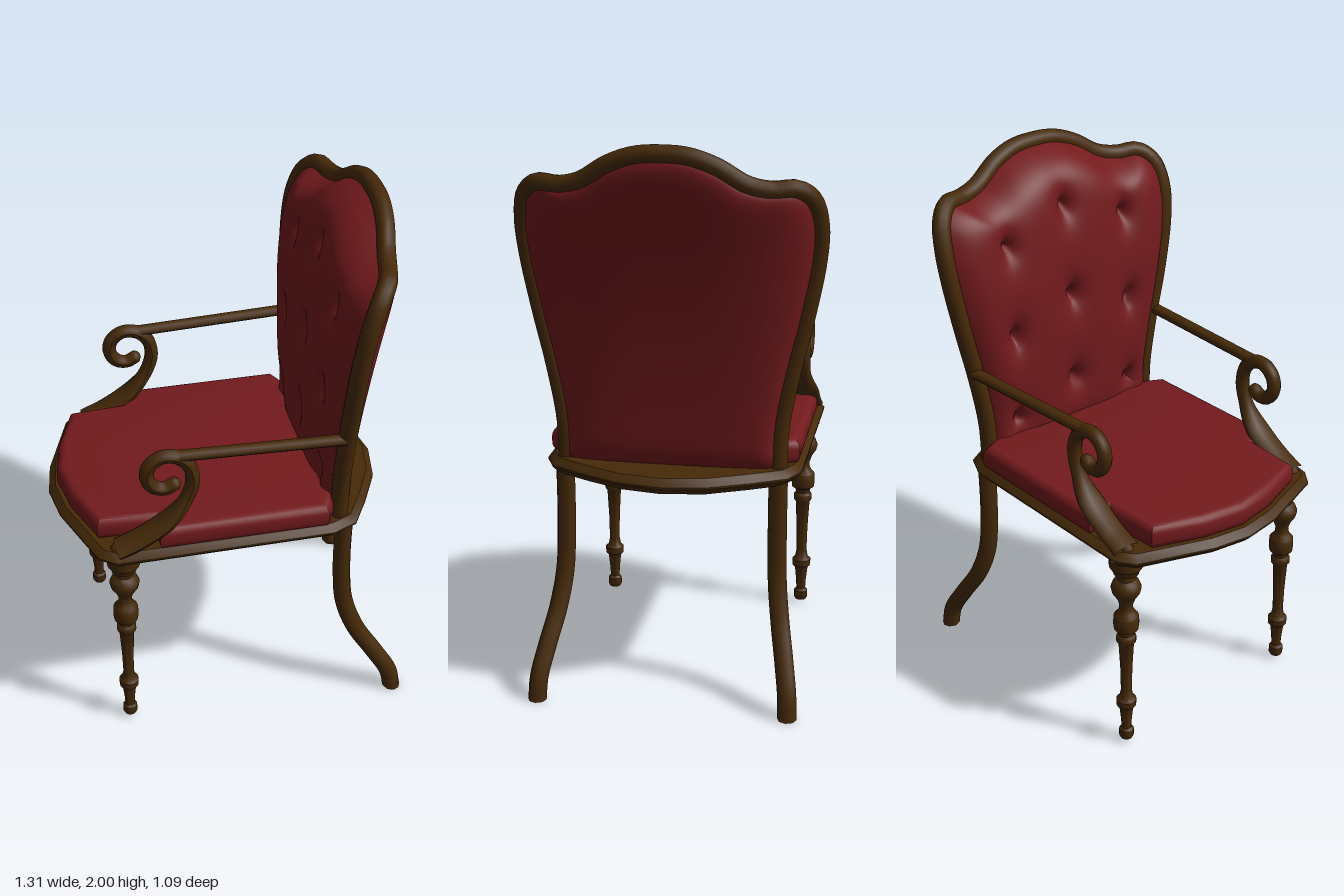
import * as THREE from 'three';
import { ParametricGeometry } from 'three/addons/geometries/ParametricGeometry.js';
import { toCreasedNormals } from 'three/addons/utils/BufferGeometryUtils.js';

const wood = new THREE.MeshStandardMaterial({ color: 0x462a08 });
wood.name = 'darkWood';
const fabric = new THREE.MeshStandardMaterial({ color: 0x731a1d });
fabric.name = 'redFabric';

const V = (x, y, z) => new THREE.Vector3(x, y, z);
const curveOf = (pts) => new THREE.CatmullRomCurve3(pts.map((p) => V(...p)));

// The chair is built facing -x, then turned slightly.
export function createModel() {
  const chair = new THREE.Group();
  chair.name = 'armchair';
  const add = (name, geometry, material) => {
    const mesh = new THREE.Mesh(geometry, material);
    mesh.name = name;
    chair.add(mesh);
    return mesh;
  };

  // Closed plan outline from one half, mirrored across z
  const outline = (half) => {
    const other = half.filter((p) => p[1] !== 0).map(([x, z]) => [x, -z]).reverse();
    return [...half, ...other].map(([x, z]) => new THREE.Vector2(x, z));
  };

  // Horizontal slab with bevelled rim
  const slab = (half, y0, y1, bevel, segments, holeHalf) => {
    const shape = new THREE.Shape(outline(half));
    if (holeHalf) shape.holes.push(new THREE.Path(outline(holeHalf)));
    const g = new THREE.ExtrudeGeometry(shape, {
      depth: y1 - y0 - 2 * bevel, bevelThickness: bevel, bevelSize: bevel,
      bevelOffset: -bevel, bevelSegments: segments,
    });
    g.rotateX(-Math.PI / 2);
    g.translate(0, y0 + bevel, 0);
    return toCreasedNormals(g, 0.6);
  };

  // Tube with closed ends
  const tube = (name, curve, segments, radius, sides) => {
    const g = new THREE.TubeGeometry(curve, segments, radius, sides);
    const mesh = add(name, g, wood);
    for (const t of [0, 1]) {
      const cap = new THREE.Mesh(new THREE.SphereGeometry(radius, sides, 6), wood);
      cap.name = name + 'End';
      cap.position.copy(curve.getPoint(t));
      if (cap.position.y > 0.1) mesh.add(cap);
    }
    return mesh;
  };

  // Seat rail with an open middle, and the cushion notched around the arm feet
  add('seatFrame', slab(
    [[-0.652, 0], [-0.63, 0.145], [-0.53, 0.42], [-0.47, 0.465], [0.33, 0.46],
      [0.42, 0.42], [0.49, 0.3], [0.56, 0.16], [0.588, 0]],
    0.8, 0.857, 0.025, 1,
    [[-0.25, 0], [-0.25, 0.38], [0.32, 0.38], [0.35, 0.25], [0.37, 0]]), wood);
  add('seatCushion', slab(
    [[-0.618, 0], [-0.59, 0.16], [-0.52, 0.345], [-0.315, 0.358], [-0.31, 0.45], [0.31, 0.45],
      [0.345, 0.38], [0.39, 0.25], [0.42, 0]],
    0.845, 0.942, 0.036, 5), fabric);

  // Backrest: leans back with height and wraps forward at the sides
  const backX = (y, z) => 0.39 + 0.165 * ((y - 0.82) / 1.18) ** 2 - 0.08 * (z / 0.5) ** 4;
  const halfBack = [[0.38, 0.84], [0.385, 1.0], [0.42, 1.2], [0.466, 1.4], [0.503, 1.6],
    [0.51, 1.72], [0.49, 1.81], [0.44, 1.852], [0.36, 1.85], [0.28, 1.868],
    [0.18, 1.928], [0.09, 1.96]];
  const backPts = [...halfBack, [0, 1.967], ...halfBack.map(([z, y]) => [-z, y]).reverse()];
  const backCurve = curveOf(backPts.map(([z, y]) => [backX(y, z), y, z]));
  tube('backFrame', backCurve, 120, 0.033, 12);

  // Outline point of the backrest, closed along the bottom
  const rim = (u) => (u < 0.86 ? backCurve.getPoint(u / 0.86)
    : V(0, 0.84, THREE.MathUtils.lerp(-0.38, 0.38, (u - 0.86) / 0.14)));
  const tufts = [1.72, 1.38, 1.04].flatMap((y) => [[y - 0.04, -0.27], [y + 0.05, 0], [y - 0.04, 0.27]]);
  const backSurface = (front) => {
    const g = new ParametricGeometry((u, v, target) => {
      const p = rim(front ? 1 - u : u);
      const s = Math.sin((v * Math.PI) / 2);
      const z = p.z * s, y = 1.4 + (p.y - 1.4) * s;
      let x = backX(y, z);
      if (front) {
        const dome = 1 - s ** 11;
        const face = 0.288 + 0.05 * (Math.max(0, y - 1.2) / 0.6) ** 2;
        x += (face - x) * dome;
        // buttoned dents, steep and drawn out vertically
        for (const [ty, tz] of tufts) {
          x += 0.075 * dome * Math.exp(-Math.hypot((z - tz) / 0.03, (y - ty) / 0.045));
        }
      } else x += 0.045 * (1 - s ** 20);
      target.set(x, y, z);
    }, 140, front ? 80 : 32);
    g.computeVertexNormals();
    return g;
  };
  add('backPadding', backSurface(true), fabric);
  add('backPanel', backSurface(false), fabric);

  // Turned front leg profile: radius, height
  const legProfile = [[0, 0.015], [0.022, 0.015], [0.027, 0.025], [0.027, 0.052], [0.018, 0.062],
    [0.02, 0.1], [0.026, 0.155], [0.036, 0.165], [0.037, 0.19], [0.026, 0.2], [0.02, 0.23],
    [0.022, 0.33], [0.028, 0.44], [0.036, 0.45], [0.036, 0.47], [0.028, 0.48], [0.03, 0.495],
    [0.044, 0.505], [0.047, 0.53], [0.045, 0.56], [0.032, 0.575], [0.025, 0.59], [0.025, 0.61],
    [0.034, 0.635], [0.05, 0.66], [0.055, 0.682], [0.046, 0.705], [0.032, 0.715], [0.032, 0.735],
    [0.046, 0.742], [0.05, 0.76], [0.06, 0.77], [0.062, 0.81]]
    .map(([r, y]) => new THREE.Vector2(r, y));
  const legGeometry = toCreasedNormals(new THREE.LatheGeometry(legProfile, 20), 0.7);

  for (const side of [1, -1]) {
    const tag = side > 0 ? 'Left' : 'Right';

    add('frontLeg' + tag, legGeometry, wood).position.set(-0.437, 0, side * 0.39);

    // Swept rear leg, cut flat at the floor
    const rear = tube('rearLeg' + tag, curveOf([[0.385, 0.82, 0.383], [0.385, 0.6, 0.383],
      [0.4, 0.43, 0.388], [0.445, 0.3, 0.405], [0.52, 0.18, 0.43], [0.578, 0.08, 0.448],
      [0.596, -0.01, 0.452]].map(([x, y, z]) => [x, y, z * side])), 40, 0.034, 8);
    const rp = rear.geometry.attributes.position;
    for (let i = 0; i < rp.count; i++) rp.setY(i, Math.max(0, rp.getY(i)));
    const sole = new THREE.Mesh(new THREE.CircleGeometry(0.034, 8), wood);
    sole.name = 'rearSole' + tag;
    sole.rotation.x = Math.PI / 2;
    sole.position.set(0.595, 0.001, side * 0.452);
    rear.add(sole);

    // Arm support: S-curve ending in an open scroll, widening toward its foot
    const scroll = tube('armScroll' + tag, curveOf([[-0.46, 0.85, 0], [-0.38, 0.885, 0],
      [-0.28, 0.95, 0], [-0.21, 1.035, 0], [-0.183, 1.12, 0], [-0.198, 1.19, 0],
      [-0.24, 1.228, 0], [-0.295, 1.233, 0], [-0.337, 1.2, 0], [-0.345, 1.15, 0],
      [-0.318, 1.108, 0], [-0.28, 1.098, 0], [-0.25, 1.112, 0]]), 90, 0.026, 10);
    const sp = scroll.geometry.attributes.position;
    for (let i = 0; i < sp.count; i++) {
      const k = THREE.MathUtils.smoothstep(1.06 - sp.getY(i), 0, 0.12);
      sp.setZ(i, sp.getZ(i) * (1 + 1.1 * k));
    }
    scroll.geometry.computeVertexNormals();
    scroll.position.z = side * 0.406;

    // Straight arm rail running to the back frame
    const rail = tube('armRail' + tag, new THREE.LineCurve3(
      V(-0.24, 0, side * 0.406), V(0.36, 0, side * 0.437)), 1, 0.025, 10);
    rail.scale.y = 0.75;
    rail.position.y = 1.231;
    rail.children.forEach((c) => c.position.setY(0));
  }

  chair.rotation.y = -0.058;
  chair.position.z = -0.02;
  const model = new THREE.Group();
  model.name = 'model';
  model.add(chair);
  return model;
}
